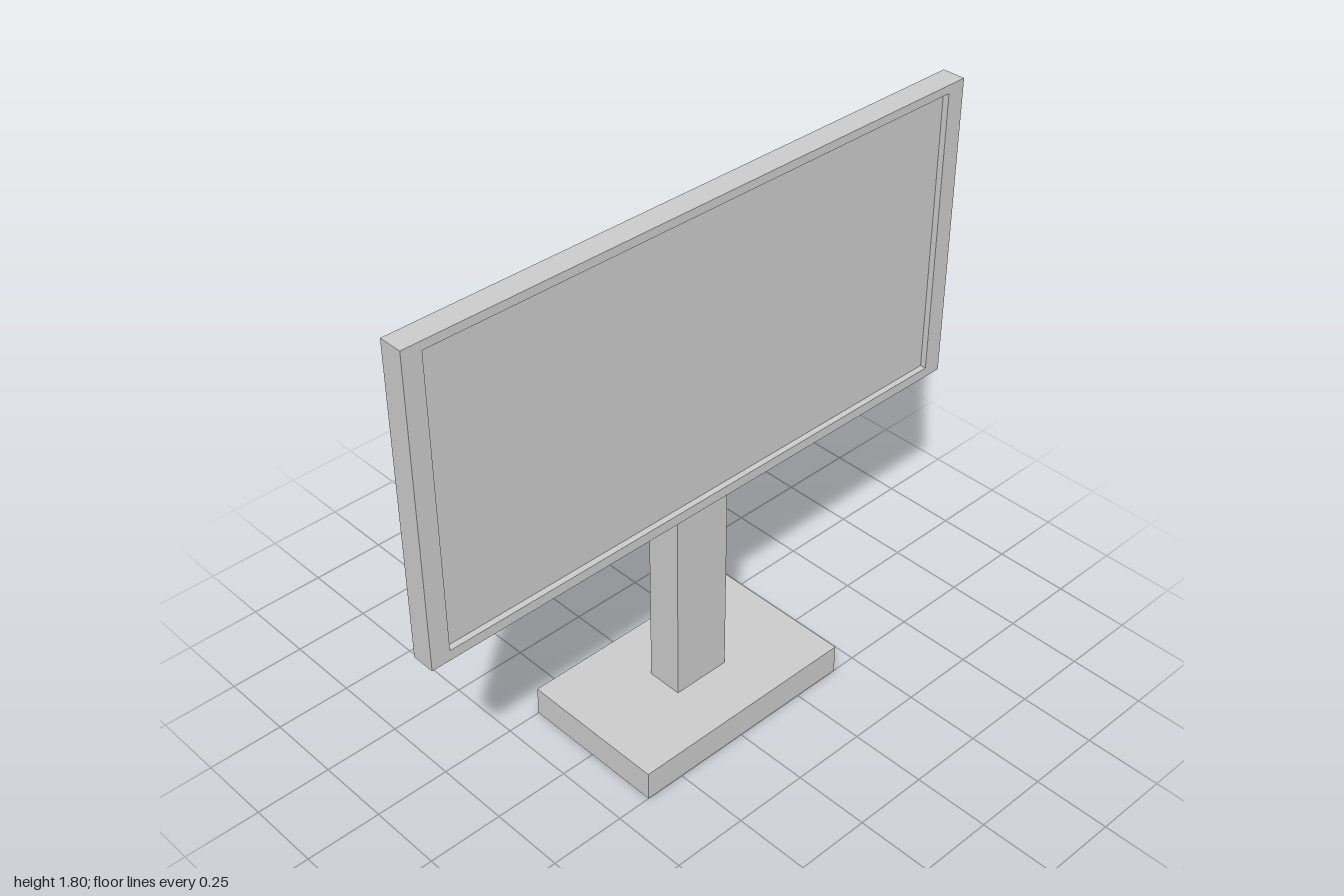
import * as THREE from 'three';

const material = new THREE.MeshStandardMaterial({ color: 0xcccccc, flatShading: true });

function addMesh(group, name, geometry) {
  const mesh = new THREE.Mesh(geometry, material);
  mesh.name = name;
  group.add(mesh);
  return mesh;
}

// Box given by its lower and upper corners
function addBox(group, name, min, max) {
  const size = max.map((v, i) => v - min[i]);
  const mesh = addMesh(group, name, new THREE.BoxGeometry(...size));
  mesh.position.set(...max.map((v, i) => (v + min[i]) / 2));
}

function rectangle(PathType, x0, y0, x1, y1) {
  return new PathType([[x0, y0], [x1, y0], [x1, y1], [x0, y1]].map(p => new THREE.Vector2(...p)));
}

export function createModel() {
  const monitor = new THREE.Group();
  monitor.name = 'monitor';

  // Stand, set slightly off the display's centre line
  addBox(monitor, 'base', [-0.385, 0, -0.25], [0.415, 0.1, 0.25]);
  addBox(monitor, 'post', [-0.085, 0.1, -0.06], [0.115, 1.453, 0.06]);

  // Bezel frame with an opening for the recessed screen
  const outline = rectangle(THREE.Shape, -1, 0.805, 1, 1.805);
  outline.holes.push(rectangle(THREE.Path, -0.938, 0.838, 0.938, 1.778));
  const frame = new THREE.ExtrudeGeometry(outline, { depth: 0.075, bevelEnabled: false });
  addMesh(monitor, 'bezel', frame.translate(0, 0, 0.025));
  addBox(monitor, 'screen', [-0.938, 0.838, 0.025], [0.938, 1.778, 0.08]);

  // Back cover: a shallow four-sided frustum tapering to a small flat
  const back = new THREE.CylinderGeometry(0.19 * Math.SQRT1_2, Math.SQRT1_2, 0.04, 4);
  back.rotateY(Math.PI / 4).rotateX(-Math.PI / 2).scale(2, 1, 1).translate(0, 1.305, 0.005);
  addMesh(monitor, 'backCover', back);

  return monitor;
}
